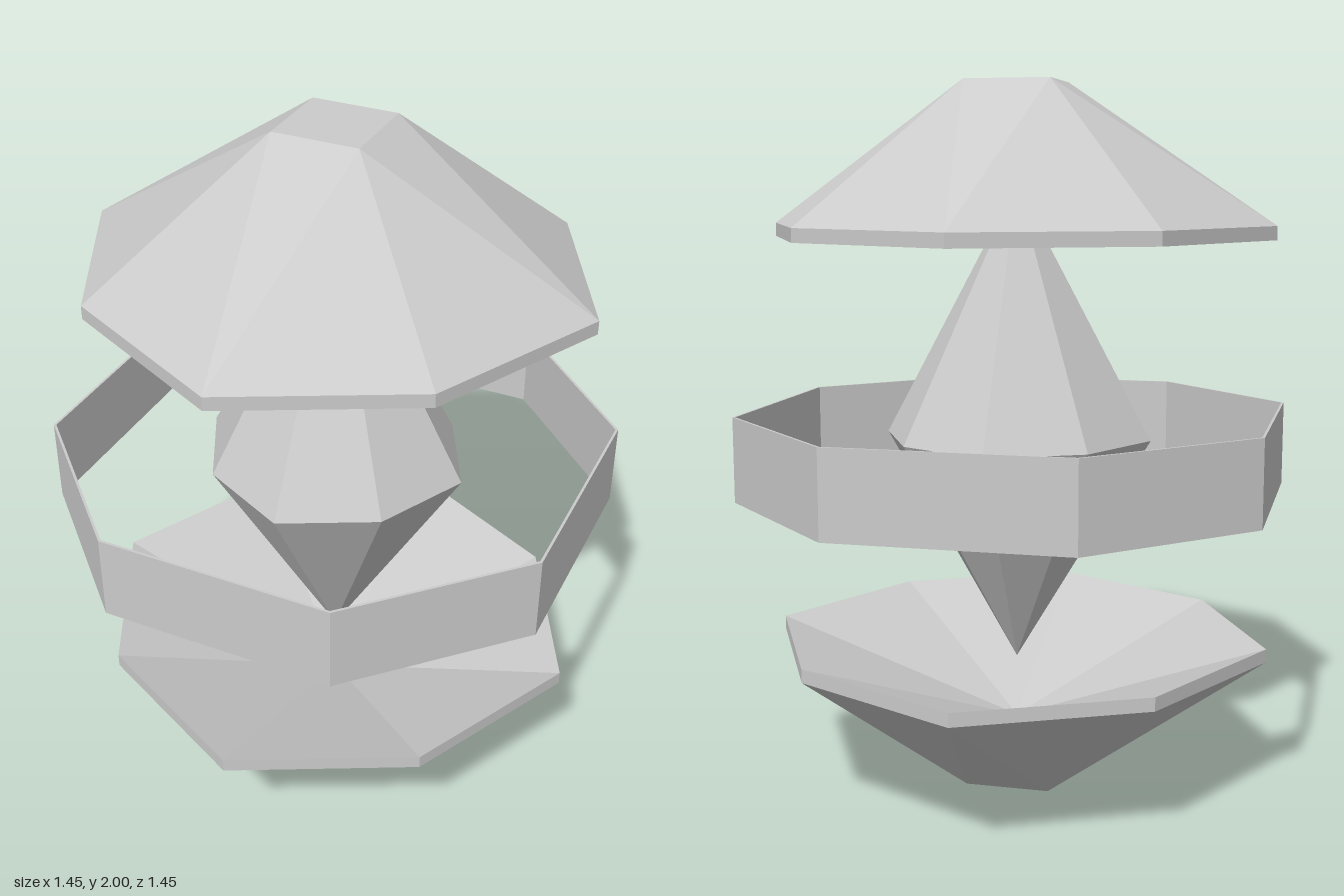
import * as THREE from 'three';

const material = new THREE.MeshStandardMaterial({ color: 0xcccccc, flatShading: true });

// Eight points around the y axis, counter-clockwise seen from above;
// even ones lie on the x and z axes, odd ones on the diagonals.
function octagon(y, axis, diagonal) {
  return Array.from({ length: 8 }, (_, k) => {
    const a = k * Math.PI / 4, r = k % 2 ? diagonal : axis;
    return [r * Math.sin(a), y, r * Math.cos(a)];
  });
}

// Joins cross-sections in order; each quad is split from its lower axis point.
function loft(name, sections) {
  const tris = [];
  for (let s = 0; s < sections.length - 1; s++) {
    const lo = sections[s], up = sections[s + 1];
    for (let k = 0; k < 8; k++) {
      const n = (k + 1) % 8;
      if (k % 2) tris.push(lo[k], lo[n], up[k], lo[n], up[n], up[k]);
      else tris.push(lo[k], lo[n], up[n], lo[k], up[n], up[k]);
    }
  }
  const geometry = new THREE.BufferGeometry();
  geometry.setAttribute('position', new THREE.Float32BufferAttribute(tris.flat(), 3));
  geometry.computeVertexNormals();
  const mesh = new THREE.Mesh(geometry, material);
  mesh.name = name;
  return mesh;
}

// Faceted cap: hollow underside, thin rim, slope and small square top
function makeCap(name) {
  const d = 0.48 * Math.SQRT2;
  return loft(name, [
    octagon(0.82, 0, 0),
    octagon(0.57, 0.72, d),
    octagon(0.608, 0.72, d),
    octagon(1, 0.12, 0.12 * Math.SQRT2),
    octagon(1, 0, 0),
  ]);
}

// Thin eight-sided band with flat sides facing front, back, left and right
function makeBand() {
  const outline = (Type, half, corner) => {
    const points = [];
    for (let k = 0; k < 4; k++) {
      const c = new THREE.Vector2(), a = k * Math.PI / 2;
      for (const y of [-corner, corner]) points.push(new THREE.Vector2(half, y).rotateAround(c, a));
    }
    return new Type(points);
  };
  const shape = outline(THREE.Shape, 0.727, 0.327);
  shape.holes.push(outline(THREE.Path, 0.72, 0.324));
  const geometry = new THREE.ExtrudeGeometry(shape, { depth: 0.24, bevelEnabled: false });
  geometry.rotateX(-Math.PI / 2).translate(0, -0.155, 0);
  const mesh = new THREE.Mesh(geometry, material);
  mesh.name = 'band';
  return mesh;
}

export function createModel() {
  const model = new THREE.Group();
  model.name = 'floatingCrystal';

  const topCap = makeCap('topCap');
  const bottomCap = makeCap('bottomCap');
  bottomCap.rotation.x = Math.PI;

  // Pointed crystal in the middle
  const crystal = loft('crystal', [
    octagon(-0.64, 0, 0),
    octagon(0.01, 0.385, 0.385 * Math.SQRT2 * 2 / 3),
    octagon(0.72, 0, 0),
  ]);

  const parts = new THREE.Group();
  parts.name = 'parts';
  parts.position.y = 1;
  parts.add(topCap, bottomCap, crystal, makeBand());
  model.add(parts);
  return model;
}
